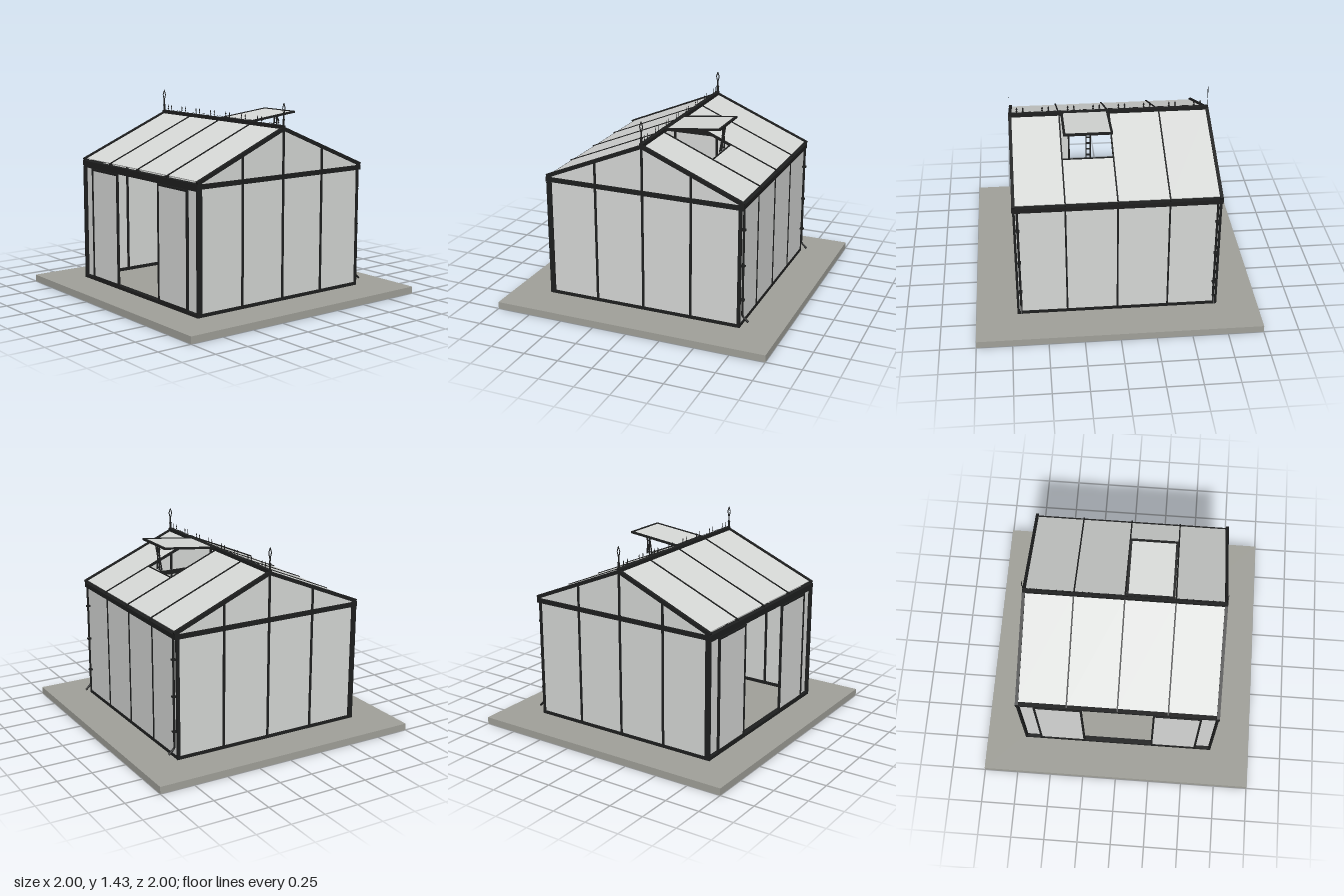
import * as THREE from 'three';

const frameMat = new THREE.MeshStandardMaterial({ color: 0x1e1f1f, side: THREE.DoubleSide });
frameMat.name = 'dark frame';
const glassMat = new THREE.MeshStandardMaterial({ color: 0xd6d8d6, side: THREE.DoubleSide });
glassMat.name = 'pale glass';
const slabMat = new THREE.MeshStandardMaterial({ color: 0xa1a19a });
slabMat.name = 'concrete';

const W = 0.71, D = 0.715;            // half width and half depth
const BASE = 0.05, EAVE = 0.92, RIDGE = 1.25;
const roofY = z => RIDGE - (RIDGE - 0.948) * Math.abs(z) / 0.72;

export function createModel() {
  const model = new THREE.Group();
  model.name = 'greenhouse';

  const add = (parent, name, geo, mat) => {
    const m = new THREE.Mesh(geo, mat);
    m.name = name;
    parent.add(m);
    return m;
  };
  const group = name => {
    const g = new THREE.Group();
    g.name = name;
    model.add(g);
    return g;
  };
  // box given by its limits
  const box = (parent, name, x0, x1, y0, y1, z0, z1, mat = frameMat) => {
    const m = add(parent, name, new THREE.BoxGeometry(x1 - x0, y1 - y0, z1 - z0), mat);
    m.position.set((x0 + x1) / 2, (y0 + y1) / 2, (z0 + z1) / 2);
    return m;
  };
  // box running from point a to point b
  const beam = (parent, name, a, b, w, h, mat = frameMat) => {
    const p = new THREE.Vector3(...a), q = new THREE.Vector3(...b);
    const m = add(parent, name, new THREE.BoxGeometry(w, h, p.distanceTo(q)), mat);
    m.position.copy(p).add(q).multiplyScalar(0.5);
    m.lookAt(q);
    return m;
  };

  box(model, 'slab', -1, 1, 0, BASE, -1, 1, slabMat);

  // gable walls
  for (const s of [-1, 1]) {
    const wall = group(s > 0 ? 'leftWall' : 'rightWall');
    const shape = new THREE.Shape();
    shape.moveTo(-0.71, BASE + 0.01);
    shape.lineTo(0.71, BASE + 0.01);
    shape.lineTo(0.71, roofY(0.71));
    shape.lineTo(0, RIDGE);
    shape.lineTo(-0.71, roofY(0.71));
    const pane = add(wall, 'gableGlass', new THREE.ShapeGeometry(shape), glassMat);
    pane.rotation.y = s * Math.PI / 2;
    pane.position.x = s * 0.703;
    const xs = s > 0 ? [0.693, W] : [-W, -0.693];
    for (const z of [-0.355, 0, 0.355])
      box(wall, 'gablePost', ...xs, BASE, roofY(z), z - 0.008, z + 0.008);
    for (const z of [-1, 1])
      box(wall, 'cornerPost', ...xs, BASE, 0.95, z * 0.705 - 0.011, z * 0.705 + 0.011);
    box(wall, 'sillRail', ...xs, BASE, 0.073, -D, D);
    box(wall, 'eaveRail', ...(s > 0 ? [0.69, 0.715] : [-0.715, -0.69]), 0.905, 0.938, -0.728, 0.735);
    for (const z of [-0.73, 0.73])
      beam(wall, 'bargeRafter', [s * 0.702, RIDGE, 0], [s * 0.702, roofY(z), z], 0.022, 0.026);
  }

  // back wall
  const back = group('backWall');
  box(back, 'backGlass', -0.7, 0.7, 0.06, 0.91, -0.71, -0.704, glassMat);
  for (const x of [-0.355, 0, 0.355]) box(back, 'backPost', x - 0.006, x + 0.006, BASE, 0.91, -D, -0.698);
  box(back, 'backSill', -W, W, BASE, 0.073, -D, -0.695);
  box(back, 'backEaveRail', -W, W, 0.905, 0.938, -0.73, -0.69);

  // front wall with a wide doorway
  const front = group('frontWall');
  box(front, 'frontSill', -W, W, BASE, 0.073, 0.695, 0.733);
  box(front, 'doorTrack', -W, W, 0.89, 0.93, 0.695, 0.728);
  box(front, 'frontGutter', -W, W, 0.922, 0.94, 0.7, 0.736);
  for (const s of [-1, 1]) {
    const mid = s * 0.53;
    box(front, 'frontGlass', mid - 0.175, mid + 0.175, 0.06, 0.9, 0.703, 0.709, glassMat);
    box(front, 'doorPost', s * 0.355 - 0.006, s * 0.355 + 0.006, BASE, 0.9, 0.698, 0.714);
    box(front, 'frontCorner', s * 0.703 - 0.007, s * 0.703 + 0.007, BASE, 0.9, 0.7, 0.734);

    // sliding door, pushed open
    const door = group(s > 0 ? 'leftDoor' : 'rightDoor');
    const c = s * 0.422;
    box(door, 'doorGlass', c - 0.165, c + 0.165, 0.075, 0.885, 0.723, 0.727, glassMat);
    for (const e of [-1, 1])
      box(door, 'doorStile', c + e * 0.165 - 0.007, c + e * 0.165 + 0.007, 0.068, 0.89, 0.718, 0.733);
    for (const y of [0.077, 0.882])
      box(door, 'doorRail', c - 0.17, c + 0.17, y - 0.007, y + 0.007, 0.718, 0.733);
  }

  // roof: four bays on each slope, one open at the back under the vent
  const roof = group('roof');
  const onRoof = (x, z) => [x, roofY(z), z];
  for (const s of [-1, 1]) {
    for (let i = 0; i < 4; i++) {
      const x = -0.5325 + i * 0.355;
      const top = s < 0 && i === 2 ? -0.37 : 0;
      beam(roof, 'roofGlass', onRoof(x, top), onRoof(x, s * 0.71), 0.355, 0.006, glassMat);
    }
    for (const x of [-0.355, 0, 0.355])
      beam(roof, 'rafter', onRoof(x, 0), onRoof(x, s * 0.728), 0.01, 0.018);
  }
  box(roof, 'ridge', -W, W, 1.245, 1.272, -0.014, 0.014);
  box(roof, 'ventSill', 0, 0.355, roofY(0.37) - 0.006, roofY(0.37) + 0.006, -0.376, -0.366);

  // raised roof vent and its stay
  const vent = group('roofVent');
  const hingeY = 1.266, tipY = 1.312, tipZ = -0.415;
  beam(vent, 'ventGlass', [0.175, hingeY, 0], [0.175, tipY, tipZ], 0.32, 0.005, glassMat);
  for (const x of [0.015, 0.337])
    beam(vent, 'ventSide', [x, hingeY, 0], [x, tipY, tipZ], 0.016, 0.014);
  box(vent, 'ventLip', 0.007, 0.345, tipY - 0.007, tipY + 0.007, tipZ - 0.007, tipZ + 0.009);
  box(vent, 'ventHinge', 0.007, 0.345, hingeY - 0.005, hingeY + 0.009, -0.026, 0);
  for (const x of [0.16, 0.19]) {
    beam(vent, 'stayArm', [x, 1.305, -0.395], [x, 1.1, -0.36], 0.007, 0.008);
    beam(vent, 'stayLink', [x, 1.3, -0.378], [x, 1.12, -0.385], 0.006, 0.006);
  }
  for (let i = 0; i < 4; i++)
    box(vent, 'stayRung', 0.16, 0.19, 1.13 + i * 0.045, 1.136 + i * 0.045, -0.385, -0.372);

  // flat ridge cresting: paired leaf spikes joined by shallow swags
  const crest = group('ridgeCresting');
  const spike = new THREE.Shape();
  [[-0.003, 0], [-0.003, 0.012], [-0.009, 0.017], [-0.003, 0.022], [-0.007, 0.034], [0, 0.05],
    [0.007, 0.034], [0.003, 0.022], [0.009, 0.017], [0.003, 0.012], [0.003, 0]]
    .forEach(([x, y], i) => (i ? spike.lineTo(x, y) : spike.moveTo(x, y)));
  const spikeGeo = new THREE.ShapeGeometry(spike);
  const swagGeo = new THREE.TorusGeometry(0.05, 0.0025, 4, 10, Math.PI);
  swagGeo.scale(1, 0.22, 1);
  for (let i = 0; i < 8; i++) {
    const x = -0.63 + i * 0.18;
    for (const dx of [-0.022, 0.022])
      add(crest, 'crestSpike', spikeGeo, frameMat).position.set(x + dx, 1.27, 0);
    if (i < 7) add(crest, 'crestSwag', swagGeo, frameMat).position.set(x + 0.09, 1.271, 0);
  }

  // flat finials at both ends of the ridge
  const finial = new THREE.Shape();
  [[-0.009, 0], [-0.009, 0.055], [-0.013, 0.06], [-0.006, 0.07], [-0.006, 0.1], [-0.015, 0.14], [-0.006, 0.168],
    [0, 0.178], [0.006, 0.168], [0.015, 0.14], [0.006, 0.1], [0.006, 0.07], [0.013, 0.06], [0.009, 0.055], [0.009, 0]]
    .forEach(([x, y], i) => (i ? finial.lineTo(x, y) : finial.moveTo(x, y)));
  const eye = new THREE.Path();
  eye.moveTo(0, 0.112);
  eye.lineTo(0.007, 0.14);
  eye.lineTo(0, 0.16);
  eye.lineTo(-0.007, 0.14);
  finial.holes.push(eye);
  const finialGeo = new THREE.ShapeGeometry(finial);
  for (const s of [-1, 1]) {
    const f = add(model, 'finial', finialGeo, frameMat);
    f.position.set(s * 0.705, 1.25, 0);
    f.rotation.y = Math.PI / 2;
  }

  // rainwater pipes at the back corners
  for (const s of [-1, 1]) {
    const pipe = group('downpipe');
    const path = new THREE.CurvePath();
    const pts = [[0.92, -0.724], [0.13, -0.724], [0.09, -0.768]].map(([y, z]) => new THREE.Vector3(s * 0.68, y, z));
    path.add(new THREE.LineCurve3(pts[0], pts[1]));
    path.add(new THREE.LineCurve3(pts[1], pts[2]));
    add(pipe, 'pipe', new THREE.TubeGeometry(path, 40, 0.008, 8), frameMat);
    for (const y of [0.25, 0.5, 0.76])
      box(pipe, 'pipeBracket', s * 0.68 - 0.012, s * 0.68 + 0.012, y - 0.006, y + 0.006, -0.737, -0.71);
  }

  return model;
}
